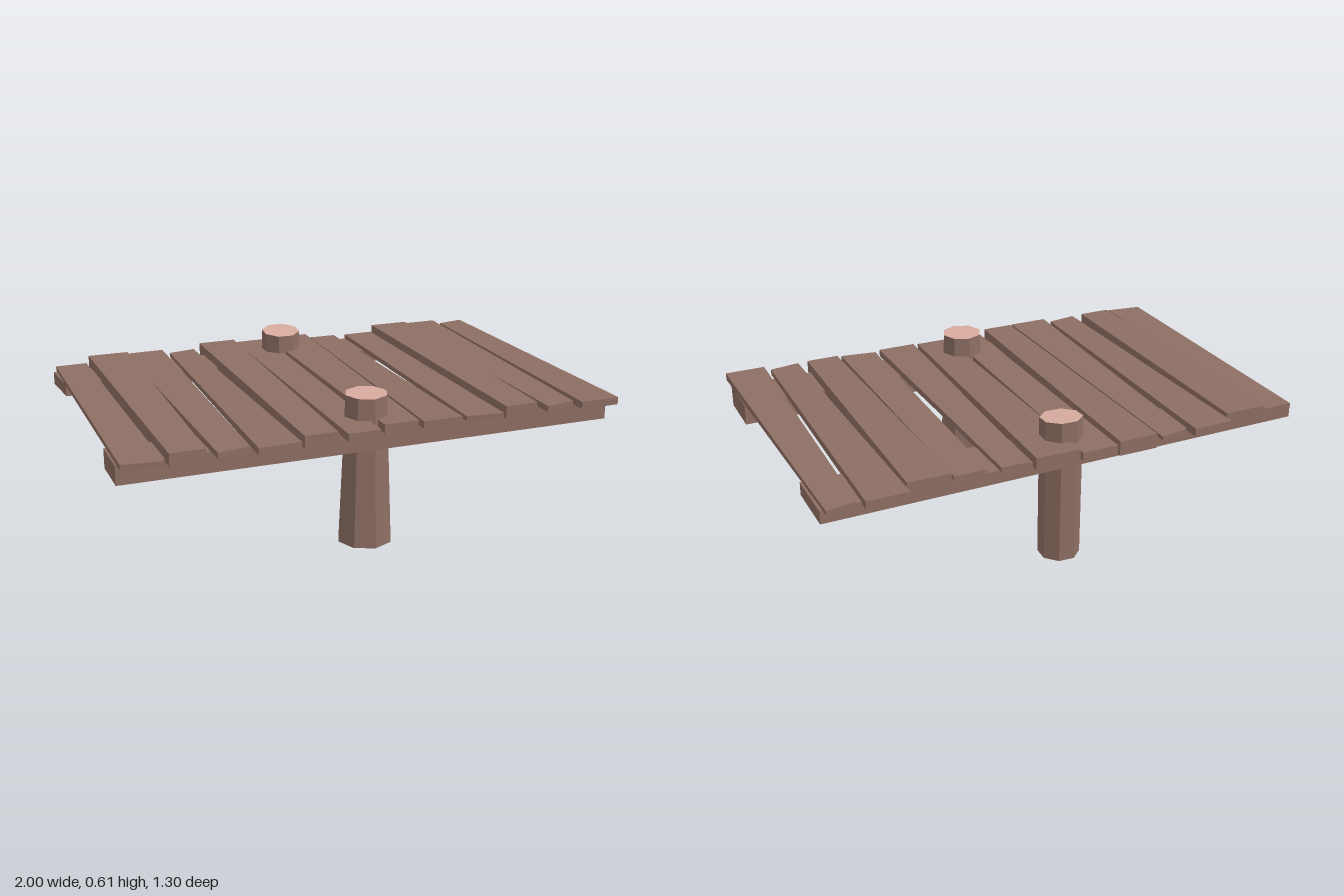
import * as THREE from 'three';

const wood = new THREE.MeshStandardMaterial({ name: 'brownWood', color: 0x8d6e63, flatShading: true, side: THREE.DoubleSide });
const cutWood = new THREE.MeshStandardMaterial({ name: 'paleCutWood', color: 0xd7ab9e, flatShading: true, side: THREE.DoubleSide });

// Rough-sawn timber: a box whose corners are moved by rule(sx, sy, sz) -> [x, y, z]
function timber(name, rule) {
  const geo = new THREE.BoxGeometry(1, 1, 1);
  const p = geo.attributes.position;
  for (let i = 0; i < p.count; i++) {
    p.setXYZ(i, ...rule(p.getX(i) > 0, p.getY(i) > 0, p.getZ(i) > 0));
  }
  geo.computeVertexNormals();
  const mesh = new THREE.Mesh(geo, wood);
  mesh.name = name;
  return mesh;
}

// Eight-sided post, open underneath, with a pale sawn top that may slope
function post(name, { x, z, y0, y1, rTop, rBottom, turn, slope }) {
  const group = new THREE.Group();
  group.name = name;
  const h = y1 - y0;
  const side = new THREE.CylinderGeometry(rTop, rBottom, h, 8, 1, true, turn);
  side.translate(0, h / 2, 0);
  const cap = new THREE.CircleGeometry(rTop, 8, turn);
  cap.rotateX(-Math.PI / 2).translate(0, h, 0);
  for (const [geo, mat, part] of [[side, wood, 'postSide'], [cap, cutWood, 'postTop']]) {
    const p = geo.attributes.position;
    for (let i = 0; i < p.count; i++) {
      if (p.getY(i) > h / 2) p.setY(i, p.getY(i) + slope * p.getZ(i));
    }
    geo.computeVertexNormals();
    const mesh = new THREE.Mesh(geo, mat);
    mesh.name = part;
    group.add(mesh);
  }
  group.position.set(x, y0, z);
  return group;
}

// Each plank end: [left x, right x, left z, right z, top y]
const planks = [
  { back: [-0.985, -0.855, -0.605, -0.605, 0.51], front: [-0.995, -0.845, 0.61, 0.63, 0.51] },
  { back: [-0.84, -0.67, -0.625, -0.62, 0.535], front: [-0.82, -0.685, 0.605, 0.605, 0.525] },
  { back: [-0.67, -0.505, -0.655, -0.655, 0.517], front: [-0.65, -0.525, 0.63, 0.61, 0.512] },
  { back: [-0.48, -0.365, -0.625, -0.645, 0.508], front: [-0.505, -0.34, 0.645, 0.645, 0.515] },
  { back: [-0.335, -0.175, -0.65, -0.65, 0.53], front: [-0.32, -0.19, 0.62, 0.62, 0.525] },
  { back: [-0.165, -0.018, -0.65, -0.65, 0.517], front: [-0.155, -0.025, 0.635, 0.635, 0.515] },
  { back: [-0.015, 0.165, -0.635, -0.63, 0.525], front: [0.005, 0.145, 0.6, 0.6, 0.518] },
  { back: [0.185, 0.3, -0.62, -0.615, 0.51], front: [0.16, 0.32, 0.615, 0.615, 0.515] },
];

export function createModel() {
  const model = new THREE.Group();
  model.name = 'woodenPlatform';

  // Deck: the run of eight planks repeats after 1.337 units
  const deck = new THREE.Group();
  deck.name = 'deck';
  for (let i = 0; i < 12; i++) {
    const plank = planks[i % 8];
    const shift = i < 8 ? 0 : 1.337;
    deck.add(timber('plank', (right, up, near) => {
      const [x0, x1, z0, z1, top] = near ? plank.front : plank.back;
      return [(right ? x1 : x0) + shift, up ? top : 1 - top, right ? z1 : z0];
    }));
  }
  model.add(deck);

  // Cross beams under the deck, slightly wider at the right-hand side of the deck
  model.add(timber('frontBeam', (right, up, near) => [
    right ? 0.995 : -1,
    up ? 0.487 : (right ? 0.4 : 0.41),
    near ? (right ? 0.567 : 0.55) : (right ? 0.358 : 0.372),
  ]));
  model.add(timber('backBeam', (right, up, near) => [
    right ? 0.985 : (near ? -0.985 : -1),
    up ? 0.492 : 0.44,
    near ? (right ? -0.38 : -0.4) : (right ? -0.61 : -0.585),
  ]));

  // Supporting posts
  model.add(post('frontPost', { x: -0.008, z: 0.456, y0: 0, y1: 0.6, rTop: 0.084, rBottom: 0.11, turn: 0, slope: 0 }));
  model.add(post('backPost', { x: -0.008, z: -0.487, y0: 0.01, y1: 0.599, rTop: 0.083, rBottom: 0.083, turn: 0.35, slope: -0.09 }));

  return model;
}
